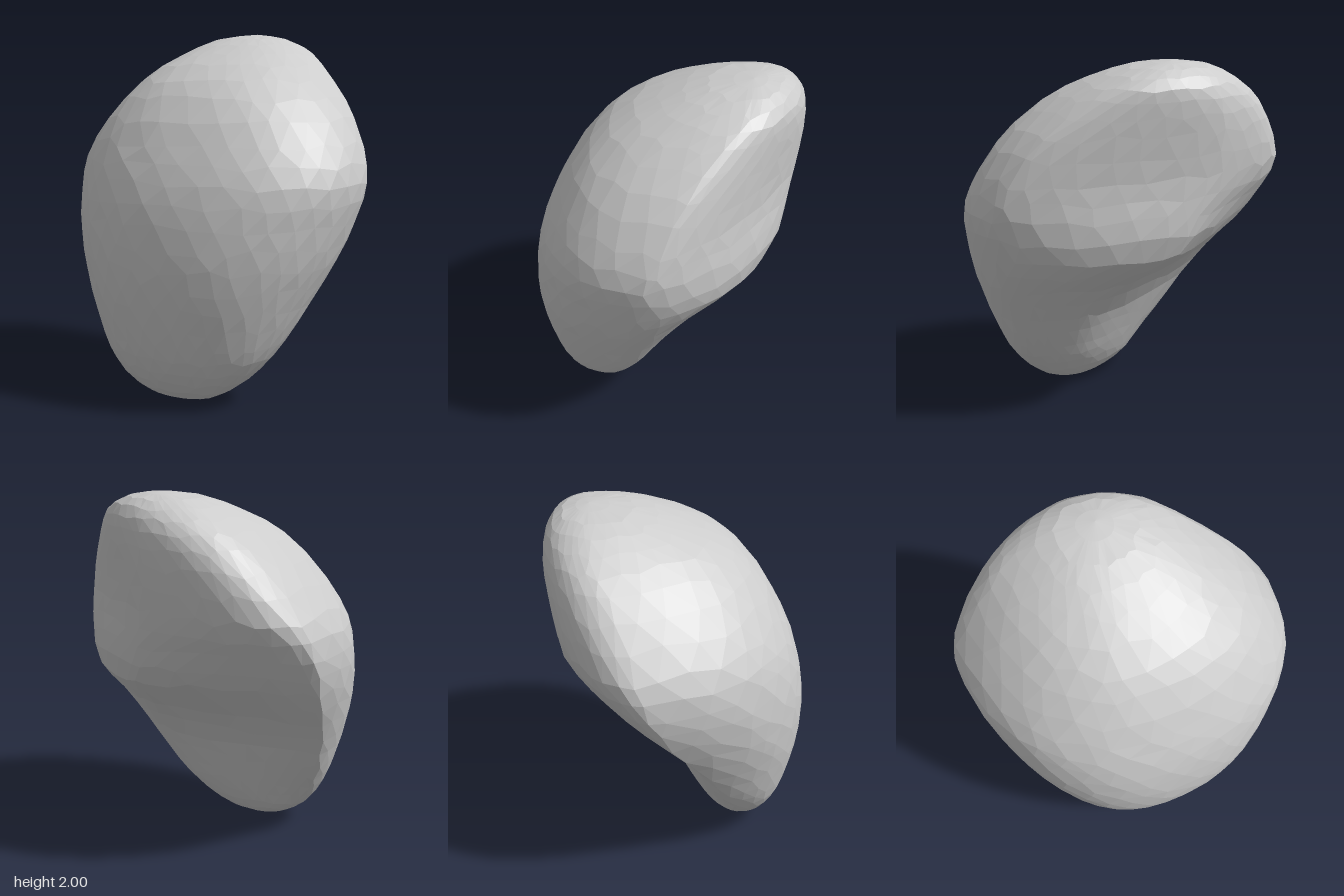
import * as THREE from 'three';

// Horizontal sections, bottom to top:
// y, left x/z, right x/z, front z, back x/z, roundness of back left and back right quarters
const SECTIONS = [
  [0.00, -0.02, 0.35, -0.02, 0.35, 0.35, -0.02, 0.35, 1.0, 1.0],
  [0.03, 0.17, 0.35, -0.20, 0.35, 0.455, 0.00, 0.25, 0.95, 0.95],
  [0.12, 0.33, 0.32, -0.36, 0.34, 0.55, 0.03, 0.15, 0.95, 0.95],
  [0.25, 0.46, 0.28, -0.475, 0.29, 0.625, 0.12, 0.06, 1.0, 1.1],
  [0.40, 0.56, 0.22, -0.575, 0.19, 0.67, 0.18, -0.02, 1.05, 1.25],
  [0.60, 0.665, 0.15, -0.675, 0.08, 0.71, 0.24, -0.14, 1.1, 1.45],
  [0.80, 0.765, 0.08, -0.77, -0.05, 0.72, 0.20, -0.33, 1.2, 1.6],
  [1.00, 0.84, 0.02, -0.85, -0.20, 0.70, 0.08, -0.59, 1.25, 1.65],
  [1.20, 0.89, -0.02, -0.89, -0.31, 0.65, 0.00, -0.65, 1.35, 1.35],
  [1.38, 0.85, -0.09, -0.86, -0.35, 0.57, -0.10, -0.68, 1.45, 0.92],
  [1.60, 0.72, -0.19, -0.71, -0.39, 0.44, -0.12, -0.71, 1.45, 0.82],
  [1.78, 0.54, -0.31, -0.54, -0.45, 0.25, -0.10, -0.715, 1.35, 0.88],
  [1.90, 0.38, -0.40, -0.36, -0.47, 0.00, -0.06, -0.68, 1.15, 0.95],
  [1.975, 0.20, -0.43, -0.19, -0.46, -0.23, -0.02, -0.59, 1.0, 1.0],
  [2.00, 0.02, -0.45, 0.02, -0.45, -0.45, 0.02, -0.45, 1.0, 1.0],
];
const RINGS = 26;
const SIDES = 34;

function seeded(seed) {
  return () => (seed = (seed * 16807) % 2147483647) / 2147483647;
}

// Smoothly interpolated section at t in 0..1
function sectionAt(t) {
  const last = SECTIONS.length - 1;
  const i = Math.min(Math.floor(t * last), last - 1);
  const f = t * last - i;
  const row = (k) => SECTIONS[Math.max(0, Math.min(last, k))];
  return row(i).map((p1, c) => {
    const p0 = row(i - 1)[c], p2 = row(i + 1)[c], p3 = row(i + 2)[c];
    const m1 = (p2 - p0) / 2, m2 = (p3 - p1) / 2, d = p2 - p1;
    return p1 + f * (m1 + f * (3 * d - 2 * m1 - m2 + f * (m1 + m2 - 2 * d)));
  });
}

// Point on a section: four curved quarters joining left, front, right and back
function pointOn([y, lx, lz, rx, rz, fz, bx, bz, backLeft, backRight], angle) {
  const c = Math.cos(angle), s = Math.sin(angle);
  const sideX = c > 0 ? lx : rx, sideZ = c > 0 ? lz : rz;
  const fx = (lx + rx) / 2 + 0.02 * (lx - rx);
  const endX = s > 0 ? fx : bx, endZ = s > 0 ? fz : bz;
  const power = s > 0 ? (c > 0 ? 0.87 : 0.91) : (c > 0 ? backLeft : backRight);
  return new THREE.Vector3(
    endX + (sideX - endX) * Math.abs(c) ** power, y,
    sideZ + (endZ - sideZ) * Math.abs(s) ** power);
}

function boulderGeometry() {
  const random = seeded(41);
  const step = (Math.PI * 2) / SIDES;
  const rings = [];
  for (let r = 0; r <= RINGS; r++) {
    const ring = [];
    // Uneven spacing along the surface gives irregular facets; the end rings stay level
    const slack = r < 2 || r > RINGS - 2 ? 0 : 0.4;
    for (let k = 0; k < SIDES; k++) {
      const t = (r + (random() - 0.5) * slack) / RINGS;
      const angle = (k + (r % 2) * 0.5 + (random() - 0.5) * 0.35) * step;
      ring.push(pointOn(sectionAt(t), angle));
    }
    rings.push(ring);
  }
  const points = [];
  for (let r = 0; r < RINGS; r++) {
    for (let k = 0; k < SIDES; k++) {
      const n = (k + 1) % SIDES;
      const a = rings[r][k], b = rings[r][n], c = rings[r + 1][k], d = rings[r + 1][n];
      // Rings are staggered by half a side, so the diagonal alternates
      const faces = r % 2 ? [[a, c, d], [a, d, b]] : [[a, c, b], [b, c, d]];
      for (const face of faces) {
        if (new THREE.Triangle(...face).getArea() > 1e-9) points.push(...face);
      }
    }
  }
  const geometry = new THREE.BufferGeometry().setFromPoints(points);
  geometry.computeVertexNormals();
  return geometry;
}

export function createModel() {
  const group = new THREE.Group();
  group.name = 'rock';
  const stone = new THREE.MeshStandardMaterial({ color: 0xcccccc, flatShading: true });
  stone.name = 'grey stone';
  const boulder = new THREE.Mesh(boulderGeometry(), stone);
  boulder.name = 'boulder';
  group.add(boulder);
  return group;
}
